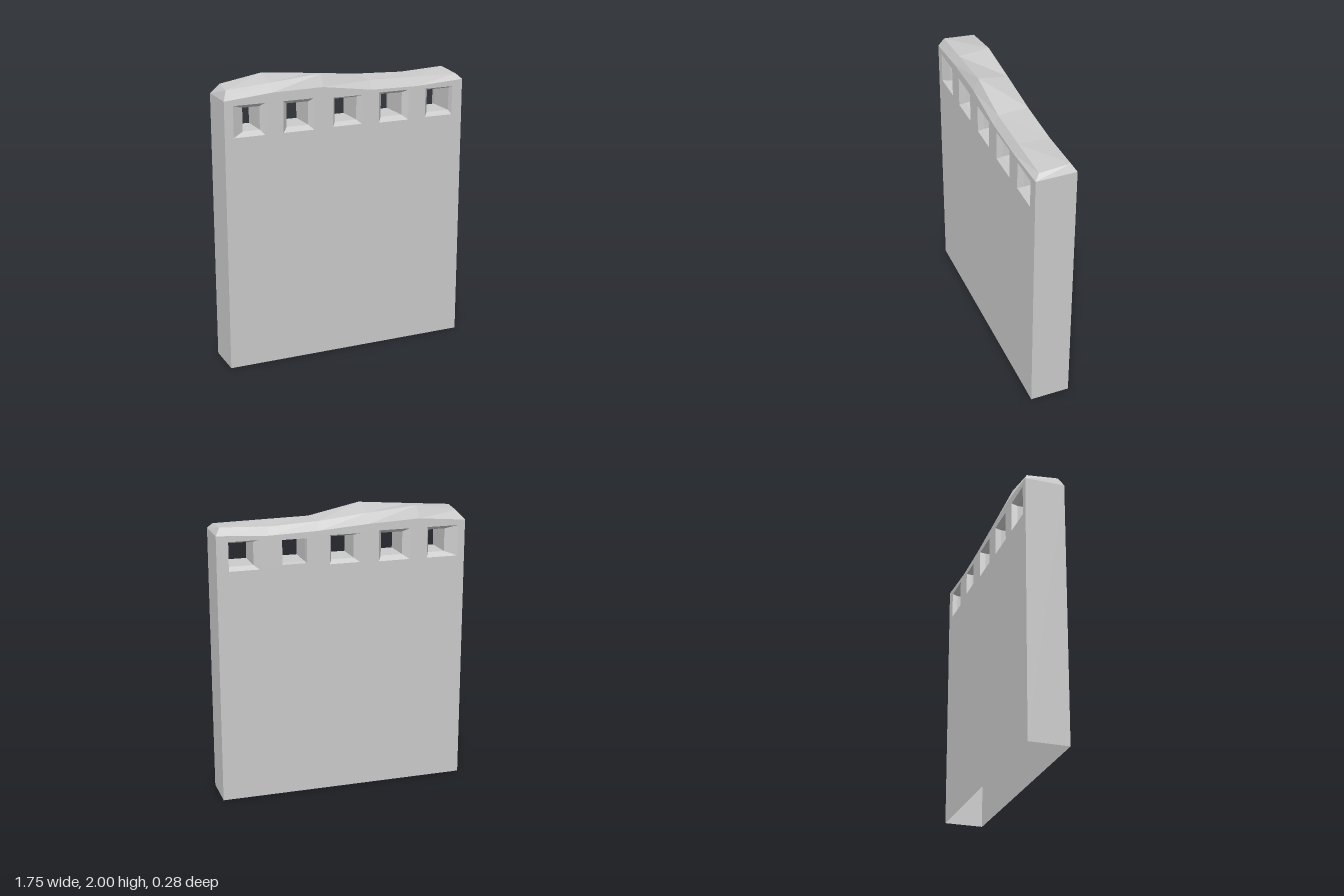
import * as THREE from 'three';

const D = 0.14; // half depth of the wall
const material = new THREE.MeshStandardMaterial({ color: 0xcccccc, flatShading: true, side: THREE.DoubleSide });

// Flat quads from groups of four corners, counter-clockwise
function quadGeometry(quads) {
  const p = [];
  for (const [a, b, c, d] of quads) p.push(...a, ...b, ...c, ...a, ...c, ...d);
  const g = new THREE.BufferGeometry();
  g.setAttribute('position', new THREE.Float32BufferAttribute(p, 3));
  g.computeVertexNormals();
  return g;
}

// Closed band of quads joining two loops
function band(a, b) {
  return a.map((p, i) => {
    const j = (i + 1) % a.length;
    return [p, a[j], b[j], b[i]];
  });
}

// Rectangle [x0, x1, y0, y1] as a loop at depth z
const rect = ([x0, x1, y0, y1], z) => [[x0, y0, z], [x1, y0, z], [x1, y1, z], [x0, y1, z]];

// Openings: front rim, narrow tunnel, back rim
const windows = [
  { front: [-0.815, -0.595, 1.63, 1.845], tunnel: [-0.74, -0.62, 1.66, 1.82], back: [-0.825, -0.6, 1.63, 1.845] },
  { front: [-0.465, -0.245, 1.63, 1.845], tunnel: [-0.43, -0.275, 1.66, 1.82], back: [-0.475, -0.25, 1.63, 1.845] },
  { front: [-0.105, 0.105, 1.635, 1.835], tunnel: [-0.08, 0.08, 1.66, 1.82], back: [-0.115, 0.1, 1.635, 1.835] },
  { front: [0.235, 0.46, 1.63, 1.84], tunnel: [0.265, 0.425, 1.66, 1.82], back: [0.26, 0.43, 1.655, 1.825] },
  { front: [0.59, 0.8, 1.635, 1.835], tunnel: [0.62, 0.79, 1.66, 1.82], back: [0.585, 0.795, 1.635, 1.835] },
];

// Worn top: lower crease and upper edge along each face, left to right
const xs = [-0.877, -0.54, -0.18, 0.18, 0.52, 0.877];
const line = (x, ys, z) => ys.map((y, i) => [x[i], y, z]);
const frontLow = line(xs, [1.88, 1.91, 1.915, 1.865, 1.86, 1.88], D);
const backLow = line(xs, [1.88, 1.91, 1.895, 1.87, 1.86, 1.88], -D);
const frontTop = line([-0.85, -0.54, -0.18, 0.18, 0.52, 0.845], [1.945, 1.97, 2, 1.925, 1.92, 1.915], 0.105);
const backTop = line([-0.82, -0.53, -0.18, 0.17, 0.52, 0.845], [1.945, 1.995, 1.965, 1.93, 1.915, 1.93], -0.108);

// Pierced face; s = 1 for the front, -1 for the back
function faceGeometry(low, key, s) {
  const v = (x, y) => new THREE.Vector2(x * s, y);
  const shape = new THREE.Shape([v(xs[0], 0), v(xs[5], 0), ...low.slice().reverse().map(([x, y]) => v(x, y))]);
  for (const w of windows) shape.holes.push(new THREE.Path(rect(w[key], 0).map(([x, y]) => v(x, y))));
  const g = new THREE.ShapeGeometry(shape).translate(0, 0, D);
  return s < 0 ? g.rotateY(Math.PI) : g;
}

export function createModel() {
  const group = new THREE.Group();
  group.name = 'battlementWall';
  const add = (name, geometry) => {
    const mesh = new THREE.Mesh(geometry, material);
    mesh.name = name;
    group.add(mesh);
  };

  add('frontFace', faceGeometry(frontLow, 'front', 1));
  add('backFace', faceGeometry(backLow, 'back', -1));

  // End walls; the underside stays open
  const x = xs[5];
  add('leftEnd', quadGeometry([[[x, 0, D], [x, 0, -D], backLow[5], frontLow[5]]]));
  add('rightEnd', quadGeometry([[[-x, 0, -D], [-x, 0, D], frontLow[0], backLow[0]]]));

  // Chamfer around the top, then the uneven top surface
  const loop = (f, b) => [...f, ...b.slice().reverse()];
  add('topChamfer', quadGeometry(band(loop(frontLow, backLow), loop(frontTop, backTop))));
  add('topSurface', quadGeometry(xs.slice(1).map((_, i) => [frontTop[i], frontTop[i + 1], backTop[i + 1], backTop[i]])));

  // Square openings with bevelled rims on both faces
  windows.forEach((w, i) => {
    const rings = [rect(w.front, D), rect(w.tunnel, 0.105), rect(w.tunnel, -0.105), rect(w.back, -D)];
    add('opening' + (i + 1), quadGeometry(rings.slice(1).flatMap((r, k) => band(rings[k], r))));
  });
  return group;
}
